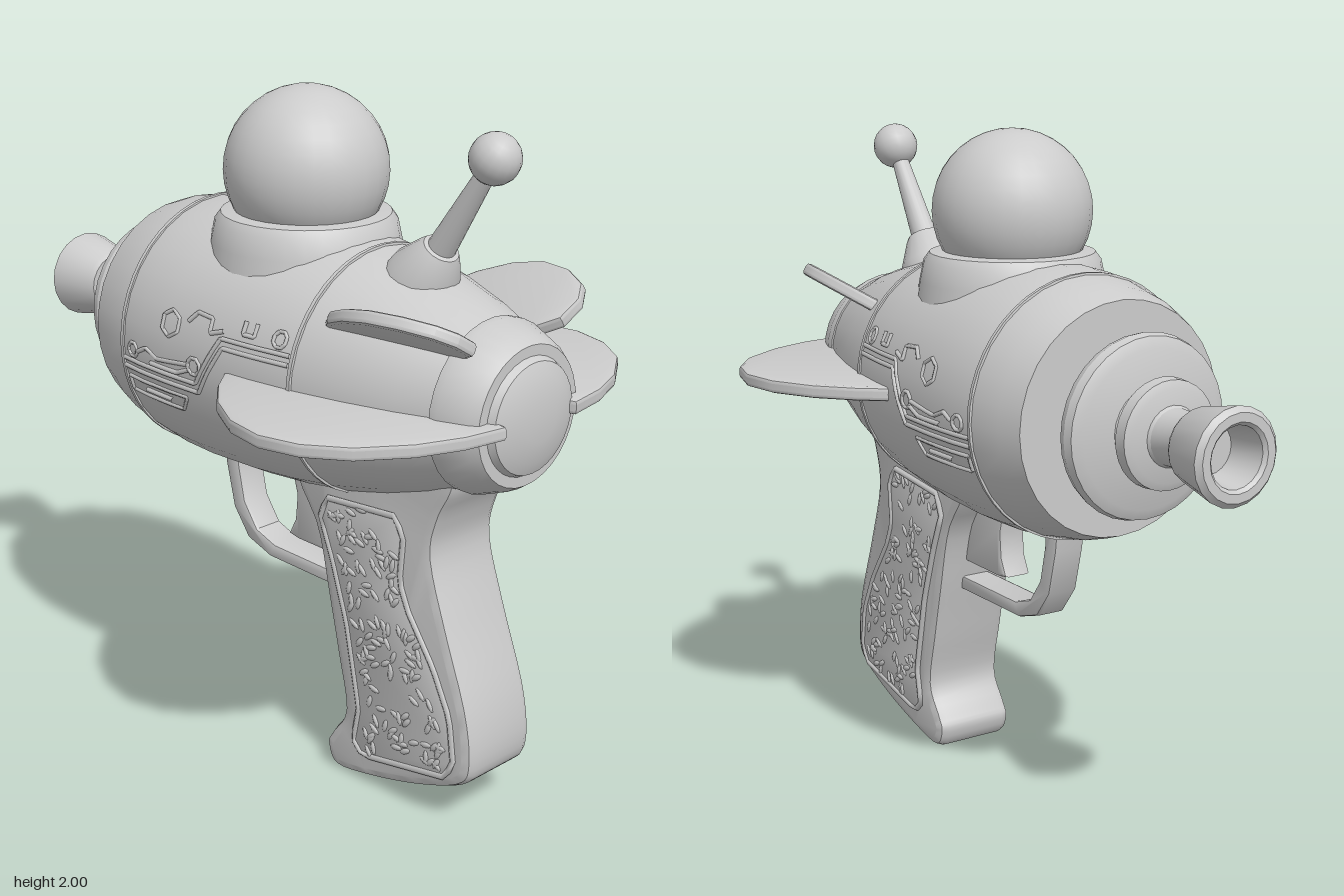
import * as THREE from 'three';
import { toCreasedNormals } from 'three/addons/utils/BufferGeometryUtils.js';

const AXIS_Y = 1.24;
const V = (x, y, z) => new THREE.Vector3(x, y, z);
const V2 = ([x, y]) => new THREE.Vector2(x, y);

// Body profile as [x, radius]
const BODY = [[-0.47, 0.335], [-0.4, 0.36], [-0.3, 0.38], [-0.2, 0.392], [-0.08, 0.396], [0.1, 0.39],
  [0.25, 0.377], [0.4, 0.355], [0.55, 0.32], [0.7, 0.275], [0.81, 0.232]];

function bodyRadius(x) {
  for (let i = 1; i < BODY.length; i++) {
    const [x0, r0] = BODY[i - 1], [x1, r1] = BODY[i];
    if (x <= x1) return r0 + (r1 - r0) * (x - x0) / (x1 - x0);
  }
  return BODY[BODY.length - 1][1];
}

// Point on the side of the body; s is +1 or -1 for the side
function onBody(x, y, s) {
  const r = bodyRadius(x);
  return V(x, y, s * Math.sqrt(Math.max(0, r * r - (y - AXIS_Y) ** 2)));
}

export function createModel() {
  const model = new THREE.Group();
  model.name = 'rayGun';
  const material = new THREE.MeshStandardMaterial({ color: 0xcccccc });

  function add(name, geometry, parent = model) {
    const mesh = new THREE.Mesh(geometry, material);
    mesh.name = name;
    parent.add(mesh);
    return mesh;
  }
  function group(name) {
    const g = new THREE.Group();
    g.name = name;
    model.add(g);
    return g;
  }
  // Turned part along the barrel axis, points are [x, radius]
  function turned(name, points, sides = 32) {
    const g = new THREE.LatheGeometry(points.map(([x, r]) => new THREE.Vector2(r, x)), sides);
    g.rotateZ(-Math.PI / 2).translate(0, AXIS_Y, 0);
    return add(name, toCreasedNormals(g, 0.5));
  }
  function outline(points, smooth) {
    const p = points.map(V2);
    if (!smooth) return new THREE.Shape(p);
    const shape = new THREE.Shape();
    shape.moveTo(p[0].x, p[0].y);
    shape.splineThru(p.slice(1));
    return shape;
  }
  // Slab of a total thickness centred on z = 0, with rounded edges inside the outline
  function slab(points, thickness, bevel, smooth = true) {
    const g = new THREE.ExtrudeGeometry(outline(points, smooth), {
      depth: thickness - 2 * bevel, bevelThickness: bevel, bevelSize: bevel, bevelOffset: -bevel,
      bevelSegments: 2, curveSegments: 4, steps: 1,
    });
    g.translate(0, 0, bevel - thickness / 2);
    return toCreasedNormals(g, 0.6);
  }
  function wire(name, points, radius, closed = false, parent = model) {
    const path = new THREE.CurvePath();
    const n = points.length;
    for (let i = 0; i < (closed ? n : n - 1); i++) path.add(new THREE.LineCurve3(points[i], points[(i + 1) % n]));
    return add(name, new THREE.TubeGeometry(path, n * 4, radius, 5, closed), parent);
  }

  // Body, barrel and rear cap
  turned('body', [[-0.47, 0], ...BODY, [0.81, 0]]);
  turned('barrelCollar', [[-0.56, 0.15], [-0.52, 0.168], [-0.47, 0.183], [-0.45, 0.183]]);
  turned('largeBarrelDisc', [[-0.61, 0], [-0.61, 0.225], [-0.595, 0.255], [-0.57, 0.262], [-0.545, 0.255], [-0.53, 0.225], [-0.53, 0]]);
  turned('barrelNeck', [[-0.83, 0.085], [-0.8, 0.075], [-0.71, 0.08], [-0.68, 0.1], [-0.64, 0.11], [-0.6, 0.13]], 24);
  turned('smallBarrelDisc', [[-0.705, 0], [-0.7, 0.13], [-0.69, 0.152], [-0.655, 0.155], [-0.64, 0.14], [-0.635, 0]]);
  turned('muzzle', [[-0.86, 0], [-0.86, 0.07], [-0.97, 0.085], [-0.98, 0.095], [-0.98, 0.12], [-0.965, 0.135],
    [-0.82, 0.105], [-0.805, 0.095], [-0.8, 0]], 20);
  turned('rearCap', [[0.79, 0.2], [0.795, 0.243], [0.82, 0.243], [0.9, 0.212], [0.925, 0.195], [0.925, 0.165],
    [0.945, 0.155], [0.96, 0.12], [0.97, 0.06], [0.972, 0]]);
  for (const x of [-0.29, 0.39]) {
    const r = bodyRadius(x);
    turned('bodySeam', [[x - 0.008, r - 0.01], [x - 0.006, r + 0.005], [x + 0.006, r + 0.005], [x + 0.008, r - 0.01]], 48);
  }

  // Dome on its collar
  add('dome', new THREE.SphereGeometry(0.237, 28, 18).translate(0.085, 1.763, 0));
  const collar = [[0.29, 1.46], [0.275, 1.56], [0.262, 1.62], [0.245, 1.643], [0.21, 1.648], [0, 1.648]];
  add('domeCollar', toCreasedNormals(new THREE.LatheGeometry(collar.map(V2), 32), 0.7).translate(0.085, 0, 0));

  // Antenna leaning to the rear
  const antenna = group('antenna');
  const rod = [[0.11, -0.06], [0.1, 0], [0.062, 0.075], [0.052, 0.09], [0.04, 0.093], [0.026, 0.36], [0, 0.37]];
  add('antennaRod', toCreasedNormals(new THREE.LatheGeometry(rod.map(V2), 18), 0.6), antenna);
  add('antennaBall', new THREE.SphereGeometry(0.07, 18, 12).translate(0, 0.41, 0), antenna);
  antenna.position.set(0.555, 1.555, 0);
  antenna.rotation.z = -Math.atan2(0.225, 0.345);

  // Side fins and tilted upper fins
  const sideFin = [[0.14, 0.36], [0.22, 0.46], [0.32, 0.55], [0.45, 0.62], [0.58, 0.642], [0.7, 0.61], [0.81, 0.53],
    [0.9, 0.4], [0.95, 0.27], [0.972, 0.14], [0.9, 0.12], [0.5, 0.15], [0.2, 0.3]];
  const upperFin = [[0.43, 0.28], [0.5, 0.345], [0.6, 0.395], [0.7, 0.412], [0.8, 0.39], [0.88, 0.34], [0.91, 0.28],
    [0.9, 0.2], [0.82, 0.14], [0.65, 0.16], [0.48, 0.22]];
  for (const s of [1, -1]) {
    const flip = ([x, r]) => [x, s * r];
    add('sideFin', slab(sideFin.map(flip), 0.042, 0.012, false).rotateX(Math.PI / 2).translate(0, AXIS_Y, 0));
    const g = slab(upperFin.map(flip), 0.04, 0.012, false).rotateX(Math.PI / 2).rotateX(-s * Math.PI / 6);
    add('upperFin', g.translate(-0.6, 0, 0).rotateZ(0.12).translate(0.6, 1.315, 0));
  }

  // Grip
  const grip = [[0.3, 1.1], [0.17, 0.92], [0.26, 0.75], [0.31, 0.55], [0.35, 0.38], [0.385, 0.21], [0.335, 0.12], [0.312, 0.07],
    [0.35, 0.005], [0.48, 0.02], [0.68, 0.075], [0.84, 0.145], [0.882, 0.22], [0.86, 0.38], [0.775, 0.61],
    [0.715, 0.8], [0.735, 0.92], [0.785, 1.03], [0.76, 1.14], [0.3, 1.1]];
  add('grip', slab(grip, 0.262, 0.03));

  // Textured grip panels with a raised rim
  const panel = [[0.29, 0.8], [0.315, 0.865], [0.585, 0.89], [0.615, 0.83], [0.605, 0.7], [0.64, 0.62], [0.74, 0.48],
    [0.805, 0.35], [0.825, 0.21], [0.79, 0.16], [0.47, 0.095], [0.435, 0.13], [0.455, 0.24], [0.4, 0.5], [0.34, 0.68]];
  add('gripPanels', slab(panel, 0.272, 0.004, false));
  let seed = 7;
  const random = () => (seed = (seed * 16807) % 2147483647) / 2147483647;
  const inside = (x, y) => {
    let hit = false;
    panel.forEach(([x0, y0], i) => {
      const [x1, y1] = panel[(i + 1) % panel.length];
      if ((y0 > y) !== (y1 > y) && x < x0 + (x1 - x0) * (y - y0) / (y1 - y0)) hit = !hit;
    });
    return hit;
  };
  for (const s of [1, -1]) {
    wire('panelRim', panel.map(([x, y]) => V(x, y, s * 0.133)), 0.01, true);
    const bumps = group('gripTexture');
    for (let i = 0; i < 260; i++) {
      const x = 0.28 + 0.55 * random(), y = 0.1 + 0.78 * random(), turn = random() * Math.PI;
      if (!inside(x - 0.025, y) || !inside(x + 0.025, y)) continue;
      const bump = add('textureBump', new THREE.SphereGeometry(1, 7, 5), bumps);
      bump.scale.set(0.024, 0.009, 0.007);
      bump.rotation.z = turn;
      bump.position.set(x, y, s * 0.135);
    }
  }

  // Trigger and its guard
  const guard = [[-0.235, 0.93], [-0.22, 0.8], [-0.185, 0.66], [-0.12, 0.575], [-0.02, 0.543], [0.33, 0.54],
    [0.33, 0.585], [0, 0.588], [-0.08, 0.615], [-0.135, 0.69], [-0.16, 0.8], [-0.165, 0.93]];
  add('triggerGuard', slab(guard, 0.1, 0.01, false));
  add('trigger', slab([[0.06, 0.95], [0.075, 0.84], [0.092, 0.78], [0.085, 0.7], [0.058, 0.645], [0.1, 0.637],
    [0.31, 0.637], [0.25, 0.95]], 0.09, 0.012, false));

  // Raised lines and small fittings on both flanks
  for (const s of [1, -1]) {
    const flank = group('flankDetail');
    const line = (points, radius = 0.007, closed = false) => {
      const fine = [];
      points.forEach(([x, y], i) => {
        const [x1, y1] = points[(i + 1) % points.length];
        const steps = i < points.length - 1 || closed ? Math.ceil(Math.hypot(x1 - x, y1 - y) / 0.04) : 1;
        for (let k = 0; k < steps; k++) fine.push(onBody(x + (x1 - x) * k / steps, y + (y1 - y) * k / steps, s));
      });
      wire('raisedLine', fine, radius, closed, flank);
    };
    const ring = (x, y, r, sides) => line(Array.from({ length: sides }, (_, i) => {
      const a = (i + 0.5) / sides * Math.PI * 2;
      return [x + r * Math.cos(a), y + r * Math.sin(a)];
    }), 0.006, true);
    for (const d of [0, 0.025]) {
      line([[0.38, 1.325 + d], [0.145 - d * 0.4, 1.325 + d], [0.055 - d * 0.4, 1.175 + d], [-0.285, 1.175 + d]]);
    }
    ring(-0.07, 1.35, 0.038, 6);
    ring(-0.235, 1.235, 0.022, 8);
    ring(0.04, 1.25, 0.025, 8);
    ring(0.335, 1.385, 0.022, 8);
    line([[-0.21, 1.235], [-0.17, 1.255], [-0.12, 1.235], [0.015, 1.25]]);
    line([[-0.15, 1.215], [-0.03, 1.215], [0.02, 1.235]]);
    line([[0.0, 1.37], [0.03, 1.4], [0.09, 1.395], [0.09, 1.355], [0.14, 1.37]]);
    line([[0.21, 1.41], [0.21, 1.375], [0.25, 1.375], [0.25, 1.41]]);
    line([[-0.27, 1.145], [0.0, 1.145], [-0.03, 1.1], [-0.27, 1.1]], 0.006, true);
    line([[-0.19, 1.12], [-0.07, 1.12]]);
  }
  return model;
}
